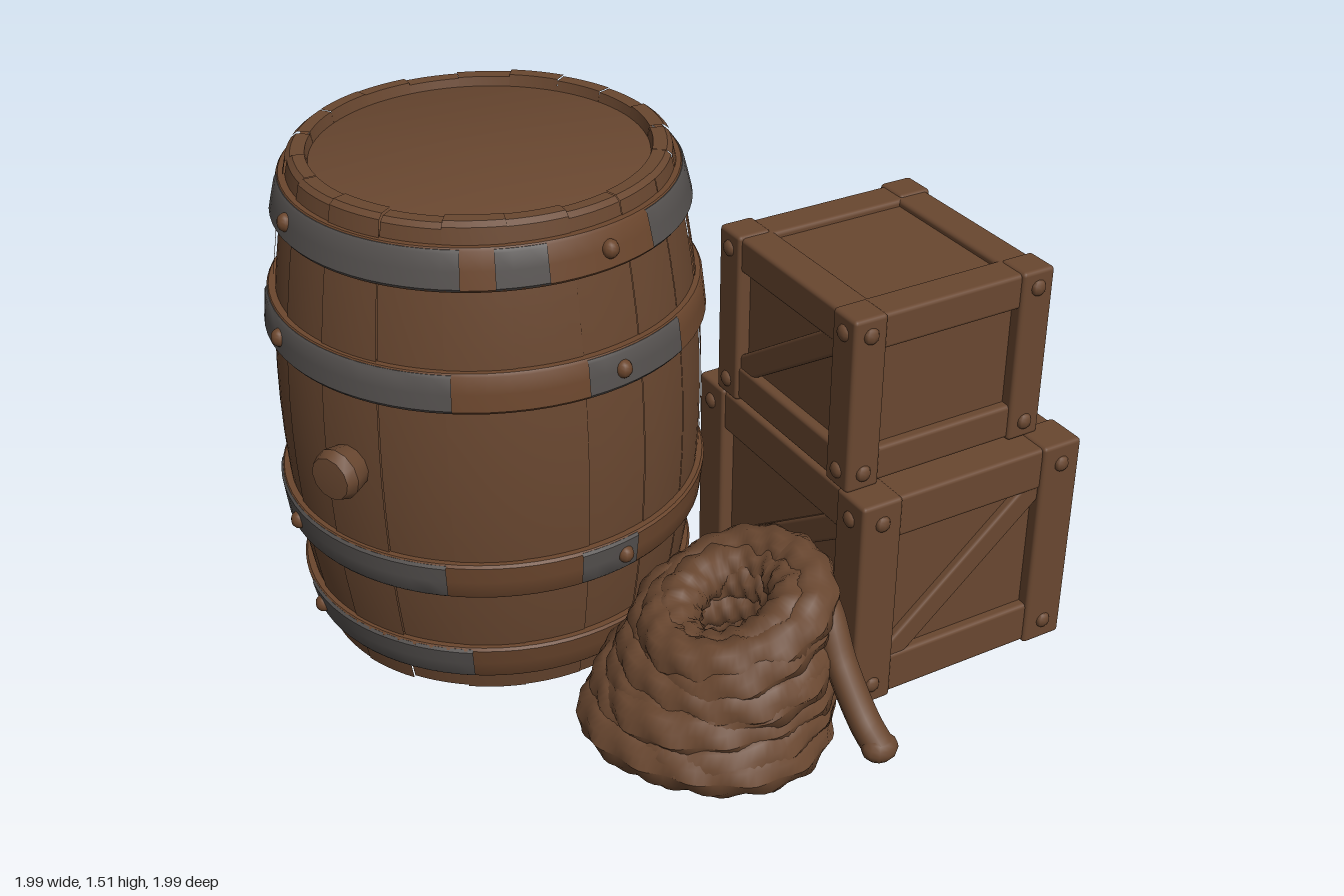
import * as THREE from 'three';
import { toCreasedNormals } from 'three/addons/utils/BufferGeometryUtils.js';
import { RoundedBoxGeometry } from 'three/addons/geometries/RoundedBoxGeometry.js';

const wood = new THREE.MeshStandardMaterial({ color: 0x694730 });
wood.name = 'wood';
const iron = new THREE.MeshStandardMaterial({ color: 0x55514f });
iron.name = 'iron';
const rust = new THREE.MeshStandardMaterial({ color: 0x6b462d });
rust.name = 'rust';

const rad = THREE.MathUtils.degToRad;
let seed = 7;
const rnd = () => (seed = (seed * 16807) % 2147483647) / 2147483647;

function add(parent, name, geometry, material, x = 0, y = 0, z = 0) {
  const mesh = new THREE.Mesh(geometry, material);
  mesh.name = name;
  mesh.position.set(x, y, z);
  parent.add(mesh);
  return mesh;
}

const lathe = (points, segments, start = 0, length = Math.PI * 2) =>
  toCreasedNormals(new THREE.LatheGeometry(points.map(p => new THREE.Vector2(...p)), segments, start, length), 0.6);

// Bulging barrel radius at a given height
const barrelRadius = y => 0.608 - 0.09 * ((y - 0.76) / 0.74) ** 2;

function createBarrel() {
  const barrel = new THREE.Group();
  barrel.name = 'barrel';

  // Staves with slightly uneven faces and ends
  const count = 20, step = Math.PI * 2 / count;
  for (let i = 0; i < count; i++) {
    const off = (rnd() - 0.5) * 0.01, top = 1.5 - rnd() * 0.012, bottom = 0.02 + rnd() * 0.008;
    const profile = [[0.46, 0.07], [0.475, bottom], [barrelRadius(bottom) + off - 0.012, bottom]];
    for (let k = 0; k <= 14; k++) {
      const y = bottom + 0.012 + (top - bottom - 0.024) * k / 14;
      profile.push([barrelRadius(y) + off, y]);
    }
    profile.push([barrelRadius(top) + off - 0.012, top], [0.47, top], [0.46, 1.45]);
    add(barrel, 'stave', lathe(profile, 5, i * step, step), wood);
  }

  // Inner core closes the seams, its ends are the two heads
  const core = [[0, 0.06], [0.475, 0.06]];
  for (let k = 0; k <= 12; k++) {
    const y = 0.07 + 1.38 * k / 12;
    core.push([barrelRadius(y) - 0.02, y]);
  }
  core.push([0.475, 1.465], [0, 1.465]);
  add(barrel, 'barrelHeads', lathe(core, 60), wood);

  // Hoops: rusted rings carrying arcs of bare iron (degrees from the front)
  const hoops = [
    [1.385, [[-110, -31], [-22, -8], [25, 143], [160, 230]]],
    [1.055, [[-110, -34], [0, 32], [90, 165]]],
    [0.465, [[-115, -38], [-3, 14], [105, 180]]],
    [0.155, [[-95, -33], [125, 200]]],
  ];
  const hoopProfile = (y, out, h) => [
    [barrelRadius(y - h) - 0.01, y - h], [barrelRadius(y - h) + out - 0.006, y - h],
    [barrelRadius(y - h) + out, y - h + 0.008], [barrelRadius(y) + out, y],
    [barrelRadius(y + h) + out, y + h - 0.008], [barrelRadius(y + h) + out - 0.006, y + h],
    [barrelRadius(y + h) - 0.01, y + h],
  ];
  for (const [y, arcs] of hoops) {
    add(barrel, 'hoop', lathe(hoopProfile(y, 0.02, 0.057), 72), rust);
    for (const [a, b] of arcs)
      add(barrel, 'bareIron', lathe(hoopProfile(y, 0.024, 0.053), Math.ceil((b - a) / 5), rad(a), rad(b - a)), iron);
    for (const a of [10, 90, 180, 270]) {
      const r = barrelRadius(y) + 0.022;
      const rivet = add(barrel, 'hoopRivet', new THREE.SphereGeometry(0.024, 10, 8), rust,
        r * Math.sin(rad(a)), y, r * Math.cos(rad(a)));
      rivet.scale.y = 1.1;
    }
  }

  // Bung plug on the side
  const bung = add(barrel, 'bung', lathe([[0, -0.05], [0.06, -0.05], [0.075, 0.02], [0.062, 0.05], [0, 0.055]], 12), wood,
    -0.575, 0.775, 0.285);
  bung.quaternion.setFromUnitVectors(new THREE.Vector3(0, 1, 0), new THREE.Vector3(-0.89, 0, 0.45).normalize());

  barrel.position.set(-0.35, 0, -0.355);
  return barrel;
}

// Framed crate; braced lists the faces with a diagonal (0 front, 1 right, 2 back, 3 left)
function createCrate(name, w, h, d, t, braced) {
  const crate = new THREE.Group();
  crate.name = name;
  const beam = (label, x, y, z, sx, sy, sz) =>
    add(crate, label, new RoundedBoxGeometry(sx, sy, sz, 2, 0.012), wood, x, y, z);
  const inset = 0.04;
  add(crate, 'panels', new THREE.BoxGeometry(w - inset * 2, h - 0.05, d - inset * 2), wood, 0, h / 2, 0);

  for (const s of [-1, 1]) {
    for (const q of [-1, 1]) {
      beam('cornerPost', s * (w - t) / 2, h / 2, q * (d - t) / 2, t, h, t);
      const y = h / 2 + q * (h / 2 - t / 2 - 0.006);
      beam('widthRail', 0, y, s * (d / 2 - t / 2 - 0.01), w - t, t, t);
      beam('depthRail', s * (w / 2 - t / 2 - 0.01), y, 0, t, t, d - t);
    }
  }

  for (let k = 0; k < 4; k++) {
    const face = new THREE.Group();
    face.name = 'crateSide';
    face.rotation.y = k * Math.PI / 2;
    crate.add(face);
    const fw = k % 2 ? d : w, depth = (k % 2 ? w : d) / 2;
    const iw = fw - 2 * t, ih = h - 2 * t;
    // Diagonal brace
    if (braced.includes(k)) {
      const brace = add(face, 'brace', new RoundedBoxGeometry(Math.hypot(iw, ih) + 0.02, 0.075, 0.04, 2, 0.01), wood,
        0, h / 2, depth - inset + 0.005);
      brace.rotation.z = Math.atan2(ih, iw);
    }
    // Bolts at the corners
    for (const sx of [-1, 1]) for (const sy of [-1, 1]) {
      const bolt = add(face, 'bolt', new THREE.SphereGeometry(0.024, 8, 6), wood,
        sx * (fw - t) / 2, h / 2 + sy * (h / 2 - t / 2), depth);
      bolt.scale.z = 0.6;
    }
  }
  return crate;
}

// Rope ring with twisted strands, leaning up towards +x
function ropeRing(R, r, phase) {
  const g = new THREE.TorusGeometry(R, r, 12, 96);
  const p = g.attributes.position;
  for (let i = 0; i < p.count; i++) {
    const x = p.getX(i), y = p.getY(i), z = p.getZ(i);
    const u = Math.atan2(y, x), v = Math.atan2(z, Math.hypot(x, y) - R);
    const s = 1 + 0.1 * Math.cos(3 * v + 14 * u + phase);
    const ring = R * (1 + 0.035 * Math.sin(3 * u + phase)) + r * s * Math.cos(v);
    p.setXYZ(i, ring * Math.cos(u), ring * Math.sin(u), r * s * Math.sin(v) + 0.012 * Math.sin(2 * u + phase * 2));
  }
  g.rotateX(-Math.PI / 2);
  g.computeVertexNormals();
  return g;
}

function createRope() {
  const rope = new THREE.Group();
  rope.name = 'ropeCoil';
  const layers = 7;
  for (let i = 0; i < layers; i++) {
    const f = i / (layers - 1), tilt = 0.34 * f;
    const x = -0.13 + 0.08 * f, y = 0.085 + 0.31 * f;
    // Outer and inner turns of each layer
    const turns = [[0.285 - 0.07 * f, 0.072 - 0.006 * f], [0.19 - 0.02 * f, 0.07]];
    turns.forEach(([R, r], k) => {
      const ring = add(rope, k ? 'innerTurn' : 'outerTurn', ropeRing(R, r, i * 1.7 + k), wood,
        x, y - k * 0.01, 0.525 + 0.006 * Math.sin(i * 2));
      ring.rotation.set(0.05 * Math.sin(i * 1.9), 0, tilt);
    });
  }
  // Loose end hanging over the front
  const path = new THREE.CatmullRomCurve3([[0.13, 0.44, 0.56], [0.13, 0.43, 0.68], [0.125, 0.3, 0.78],
    [0.135, 0.17, 0.89], [0.14, 0.125, 0.96]].map(p => new THREE.Vector3(...p)));
  add(rope, 'looseEnd', new THREE.TubeGeometry(path, 24, 0.045, 10), wood);
  const knot = add(rope, 'endKnot', new THREE.SphereGeometry(0.053, 12, 8), wood, 0.14, 0.13, 0.955);
  knot.scale.set(1, 0.75, 0.85);
  return rope;
}

export function createModel() {
  const model = new THREE.Group();
  model.name = 'barrelAndCrates';
  model.add(createBarrel());

  const lower = createCrate('lowerCrate', 0.74, 0.675, 0.85, 0.13, [0, 1, 2, 3]);
  lower.position.set(0.61, 0.025, 0.262);
  model.add(lower);

  const upper = createCrate('upperCrate', 0.65, 0.525, 0.67, 0.105, [1, 3]);
  upper.position.set(0.57, 0.695, 0.26);
  model.add(upper);

  // Splintered slats beside the upper brace
  for (const [y, z, length, angle] of [[0.17, -0.1, 0.2, 0.25], [0.23, -0.15, 0.15, -0.5], [0.3, -0.19, 0.16, -1.2]]) {
    const slat = add(upper, 'splinter', new RoundedBoxGeometry(0.03, 0.035, length, 1, 0.008), wood, 0.29, y, z);
    slat.rotation.x = angle;
  }

  model.add(createRope());
  return model;
}
